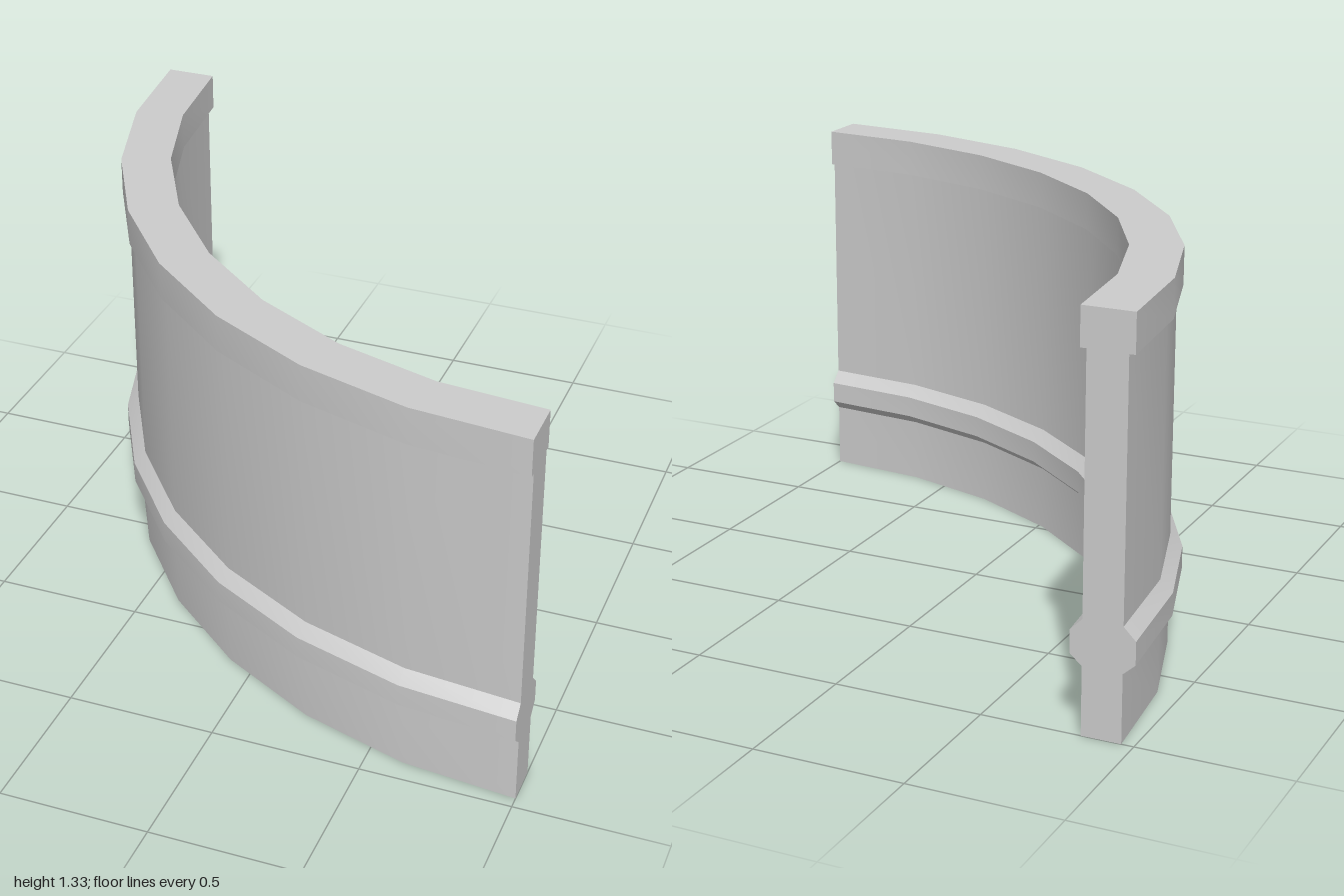
import * as THREE from 'three';
import { toCreasedNormals } from 'three/addons/utils/BufferGeometryUtils.js';

const SEGMENTS = 8;
const MID = 1.895; // radius of the wall's centre line

// Half thickness and height along the outer side, bottom to top
const side = [
  [0.065, 0], [0.065, 0.225], [0.105, 0.26], [0.105, 0.335],
  [0.065, 0.375], [0.065, 1.2], [0.085, 1.2], [0.085, 1.325],
];

export function createModel() {
  const group = new THREE.Group();
  group.name = 'quarterRingWall';
  const material = new THREE.MeshStandardMaterial({ color: 0xcccccc });

  const add = (name, geometry) => {
    const mesh = new THREE.Mesh(geometry, material);
    mesh.name = name;
    mesh.position.set(1, 0, -1); // ring axis at the back left corner
    group.add(mesh);
  };

  // Cross-section: up the outer side, down the mirrored inner side
  const section = [
    ...side.map(([t, y]) => new THREE.Vector2(MID + t, y)),
    ...side.map(([t, y]) => new THREE.Vector2(MID - t, y)).reverse(),
  ];

  // Curved wall with its moulding and top rim
  const sweep = new THREE.LatheGeometry(
    [...section, section[0].clone()], SEGMENTS, Math.PI * 1.5, Math.PI / 2);
  add('curvedWall', toCreasedNormals(sweep, 0.35));

  // Flat cut ends
  const cap = (sign) => new THREE.ShapeGeometry(
    new THREE.Shape(section.map((p) => new THREE.Vector2(sign * p.x, p.y))));
  add('backEnd', cap(1).rotateY(Math.PI));
  add('leftEnd', cap(-1).rotateY(Math.PI / 2));

  return group;
}
